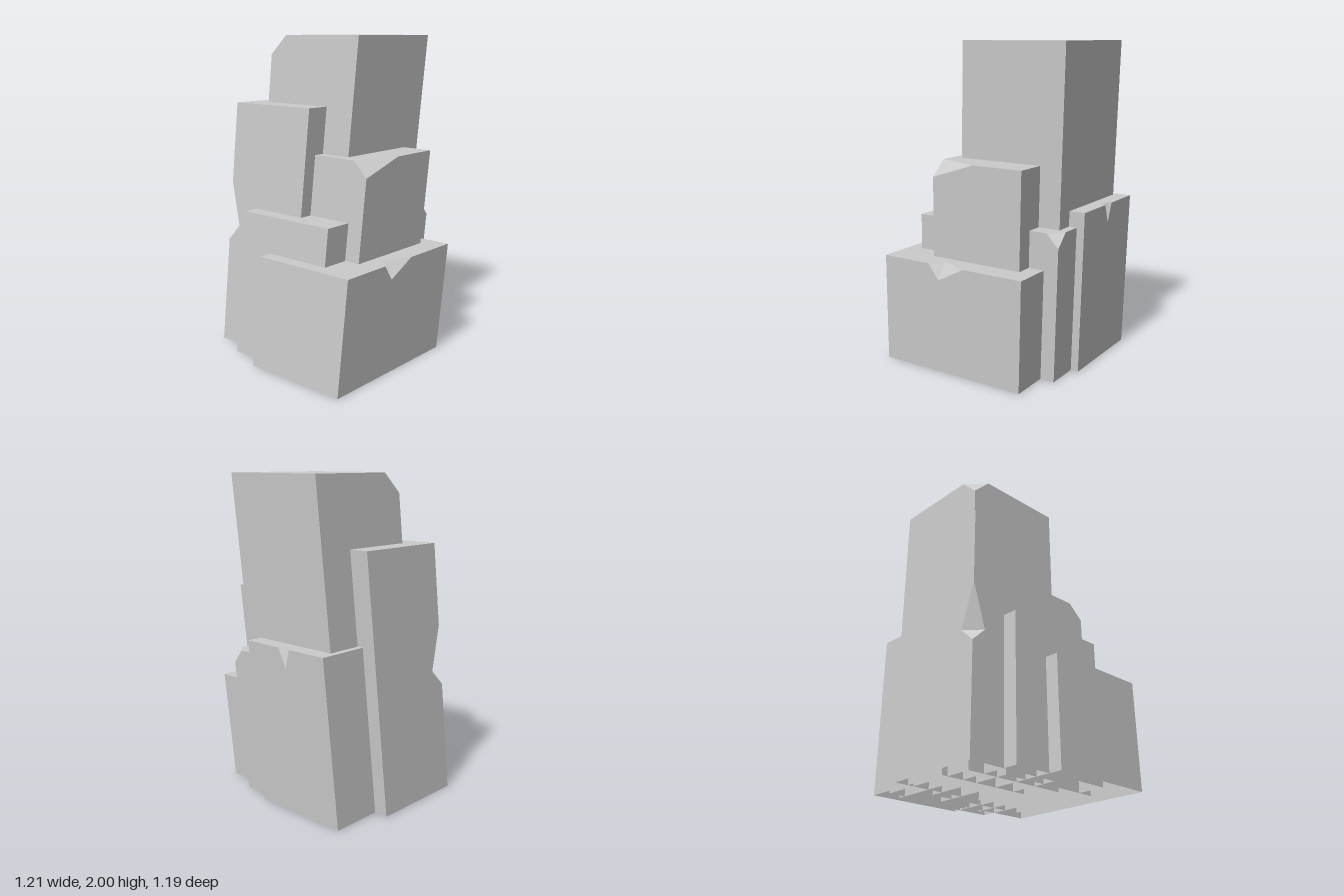
import * as THREE from 'three';

const LEAN = 0.0575; // every block leans toward +x and -z by this much per unit of height

// Corner index bits: 1 = +x, 2 = top, 4 = +z. Faces run counter-clockwise; the base is open.
const FACES = [
  [6, 7, 3, 2], // top
  [4, 5, 7, 6], // front
  [5, 1, 3, 7], // right
  [1, 0, 2, 3], // back
  [0, 4, 6, 2], // left
];

// A leaning block, sized at its top, with one chipped corner or one notched edge.
function block(name, { x, z, h, corner, notch }) {
  const V = (a) => new THREE.Vector3(...a);
  const at = (i) => V([x[i & 1], i & 2 ? h : 0, z[i >> 2]]);
  const positions = [];
  const addTriangle = (...points) => {
    for (const p of points) {
      const d = LEAN * (p.y - h);
      positions.push(p.x + d, p.y, p.z - d);
    }
  };
  // point on the edge leaving the chipped corner toward corner j
  const cutPoint = (j) => {
    const axis = { 1: 0, 2: 1, 4: 2 }[corner.at ^ j];
    const from = at(corner.at);
    return from.add(at(j).sub(from).normalize().multiplyScalar(corner.cut[axis]));
  };

  for (const face of FACES) {
    const outline = [];
    face.forEach((c, k) => {
      const next = face[(k + 1) % 4];
      const prev = face[(k + 3) % 4];
      if (corner && c === corner.at) outline.push(cutPoint(prev), cutPoint(next));
      else outline.push(at(c));
      if (notch) {
        const [a, b] = notch.edge;
        if (c === a && next === b) outline.push(V(notch.start), V(notch.inner[0]), V(notch.end));
        if (c === b && next === a) outline.push(V(notch.end), V(notch.inner[1]), V(notch.start));
      }
    });
    // flatten the outline into the face plane and triangulate it
    const o = at(face[0]);
    const u = at(face[1]).sub(o).normalize();
    const v = at(face[2]).sub(at(face[1])).normalize();
    const flat = outline.map((p) => {
      const q = p.clone().sub(o);
      return new THREE.Vector2(q.dot(u), q.dot(v));
    });
    for (const t of THREE.ShapeUtils.triangulateShape(flat, [])) {
      addTriangle(...t.map((i) => outline[i]));
    }
  }

  // facets left by the chip or notch
  if (corner) {
    const face = FACES.find((f) => f.includes(corner.at));
    const k = face.indexOf(corner.at);
    const next = face[(k + 1) % 4];
    const prev = face[(k + 3) % 4];
    const third = [1, 2, 4].map((b) => corner.at ^ b).find((j) => j !== next && j !== prev);
    addTriangle(cutPoint(next), cutPoint(prev), cutPoint(third));
  }
  if (notch) {
    const [i0, i1] = notch.inner.map(V);
    addTriangle(i0, V(notch.start), i1);
    addTriangle(i1, V(notch.end), i0);
  }

  const geometry = new THREE.BufferGeometry();
  geometry.setAttribute('position', new THREE.Float32BufferAttribute(positions, 3));
  geometry.computeVertexNormals();
  const mesh = new THREE.Mesh(geometry, new THREE.MeshStandardMaterial({
    color: 0xcccccc, flatShading: true, side: THREE.DoubleSide,
  }));
  mesh.name = name;
  return mesh;
}

export function createModel() {
  const group = new THREE.Group();
  group.name = 'rockPillars';
  group.add(
    block('tallPillar', {
      x: [-0.365, 0.33], z: [-0.55, 0.145], h: 2,
      corner: { at: 6, cut: [0.115, 0.12, 0.12] },
    }),
    block('sidePillar', {
      x: [-0.515, 0.105], z: [-0.3, 0.322], h: 1.58,
      notch: {
        edge: [4, 6], start: [-0.515, 0.69, 0.322], end: [-0.515, 1.07, 0.322],
        inner: [[-0.515, 0.78, 0.225], [-0.425, 0.78, 0.322]],
      },
    }),
    block('middlePillar', {
      x: [-0.2, 0.492], z: [-0.368, 0.255], h: 1.295,
      corner: { at: 7, cut: [0.103, 0.095, 0.29] },
    }),
    block('backPillar', {
      x: [-0.46, 0.162], z: [-0.595, 0.03], h: 1.02,
      notch: {
        edge: [2, 3], start: [-0.19, 1.02, -0.595], end: [-0.105, 1.02, -0.595],
        inner: [[-0.148, 0.9, -0.595], [-0.15, 1.02, -0.552]],
      },
    }),
    block('lowSlab', {
      x: [-0.318, 0.368], z: [-0.54, 0.455], h: 0.925,
      corner: { at: 3, cut: [0.08, 0.085, 0.08] },
    }),
    block('frontSlab', {
      x: [-0.088, 0.6], z: [-0.435, 0.555], h: 0.697,
      notch: {
        edge: [7, 3], start: [0.6, 0.697, 0.22], end: [0.6, 0.697, -0.035],
        inner: [[0.522, 0.697, 0.145], [0.6, 0.6, 0.145]],
      },
    }),
  );
  return group;
}
